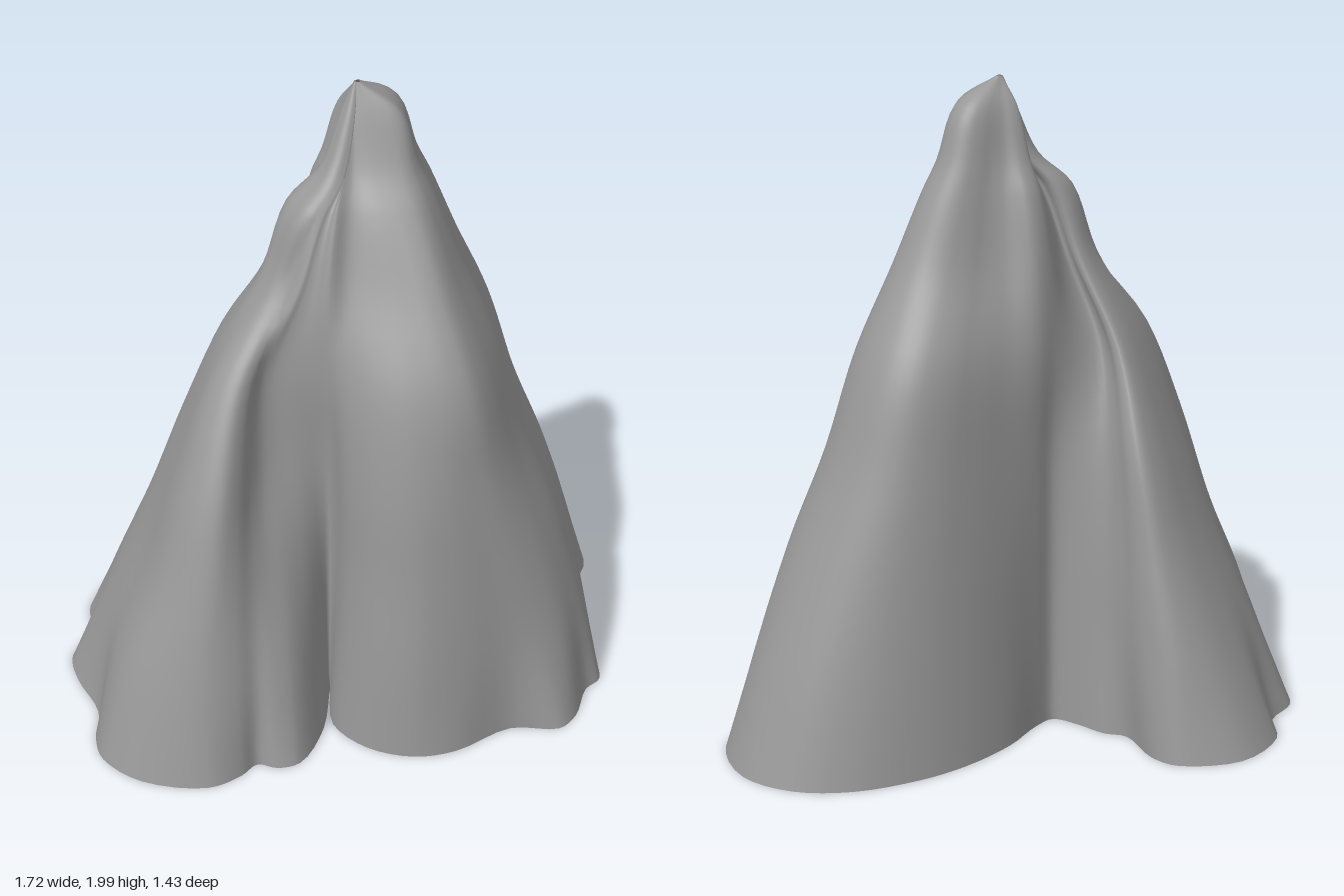
import * as THREE from 'three';

// Heights of the cross-sections
const LEVELS = [0.01, 0.3, 0.6, 0.9, 1.2, 1.45, 1.66, 1.76, 1.92, 2];

// Centre line of each lobe: x and z at every level
const MAIN_AXIS = { x: Array(10).fill(0.05), z: Array(10).fill(0) };
const SIDE_AXIS = {
  x: [-0.3, -0.3, -0.3, -0.29, -0.26, -0.15, -0.07, 0, 0.04, 0.05],
  z: [0.1, 0.1, 0.1, 0.11, 0.14, 0.13, 0.11, 0.07, 0.02, 0],
};

// How far each side of the drape reaches from its axis at every level:
// one list for x, and a second for z where it differs
const RIGHT = [1, 0.93, 0.82, 0.67, 0.55, 0.41, 0.3, 0.24, 0.17, 0.015];
const LEFT = [1, 0.81, 0.58, 0.39, 0.22, 0.16, 0.17, 0.11, 0.06, 0.01];
const PROFILES = {
  right: [RIGHT],
  back: [RIGHT, [1, 0.94, 0.87, 0.77, 0.66, 0.42, 0.31, 0.26, 0.18, 0.015]],
  front: [[1, 1, 0.98, 0.92, 0.78, 0.52, 0.33, 0.2, 0.08, 0.015]],
  shoulder: [RIGHT, [1, 0.94, 0.92, 0.92, 0.9, 0.66, 0.4, 0.25, 0.12, 0.015]],
  left: [LEFT],
  leftBack: [LEFT, [1, 0.94, 0.85, 0.72, 0.5, 0.27, 0.18, 0.11, 0.06, 0.01]],
  corner: [[1, 0.86, 0.62, 0.45, 0.27, 0.13, 0.14, 0.1, 0.05, 0.01],
    [1, 0.93, 0.84, 0.68, 0.38, 0.14, 0.15, 0.1, 0.05, 0.01]],
  fold: [[1, 0.9, 0.75, 0.55, 0.35, 0.25, 0.17, 0.1, 0.05, 0.01],
    [1, 0.89, 0.67, 0.41, 0.27, 0.25, 0.17, 0.1, 0.05, 0.01]],
  backGroove: [[1, 1, 1, 1, 1.05, 0.95, 0.75, 0.55, 0.3, 0.01]],
  frontGroove: [[1, 1, 1, 1.05, 1.15, 1.08, 0.8, 0.46, 0.16, 0.01]],
};

// Hem outline, counter-clockwise from above, grouped by profile: x, z pairs
const HEM = [
  ['right', [0.83, -0.05, 0.82, -0.18, 0.81, -0.25, 0.86, -0.4, 0.77, -0.62]],
  ['back', [0.61, -0.71, 0.43, -0.7, 0.25, -0.61, 0.12, -0.5, 0, -0.34]],
  ['backGroove', [-0.07, -0.19, -0.12, -0.13]],
  ['leftBack', [-0.2, -0.17, -0.28, -0.23, -0.35, -0.25, -0.43, -0.4, -0.51, -0.455,
    -0.7, -0.41]],
  ['left', [-0.81, -0.23, -0.8, -0.09, -0.86, 0.04, -0.84, 0.16]],
  ['corner', [-0.77, 0.33, -0.775, 0.46, -0.75, 0.56, -0.63, 0.67, -0.43, 0.71, -0.33, 0.66]],
  ['fold', [-0.28, 0.61, -0.22, 0.63, -0.15, 0.61, -0.07, 0.45]],
  ['frontGroove', [-0.04, 0.26]],
  ['front', [-0.04, 0.43, 0.06, 0.55, 0.2, 0.6, 0.33, 0.58]],
  ['shoulder', [0.51, 0.48, 0.66, 0.49, 0.72, 0.43]],
  ['right', [0.77, 0.3, 0.82, 0.25, 0.82, 0.15, 0.81, 0.08]],
];

function hemPoints() {
  const points = [];
  for (const [profile, xz] of HEM) {
    const axis = /left|corner|fold/.test(profile) ? SIDE_AXIS : MAIN_AXIS;
    const sharp = profile.endsWith('Groove');
    const [reachX, reachZ = reachX] = PROFILES[profile];
    for (let i = 0; i < xz.length; i += 2) {
      points.push({ x: xz[i], z: xz[i + 1], axis, sharp, reachX, reachZ });
    }
  }
  return points;
}

// One closed ring; the small hem waves fade out higher up, the grooves stay
function ringCurve(hem, k) {
  let ring = hem.map(({ x, z, axis, reachX, reachZ }) => new THREE.Vector3(
    axis.x[k] + (x - axis.x[0]) * reachX[k],
    LEVELS[k],
    axis.z[k] + (z - axis.z[0]) * reachZ[k]));
  const n = ring.length;
  for (let pass = 0; pass < Math.min(k, 2); pass++) {
    ring = ring.map((p, i) => hem[i].sharp ? p : ring[(i + n - 1) % n].clone()
      .add(ring[(i + 1) % n]).multiplyScalar(0.5).lerp(p, 0.5));
  }
  return new THREE.CatmullRomCurve3(ring, true);
}

// Smooth rings, joined by smooth columns
function drapeGeometry(columns, rows) {
  const hem = hemPoints();
  const rings = LEVELS.map((y, k) => ringCurve(hem, k));
  const positions = new Float32Array(columns * (rows + 1) * 3);
  for (let j = 0; j < columns; j++) {
    const column = new THREE.CatmullRomCurve3(rings.map((ring) => ring.getPoint(j / columns)));
    for (let r = 0; r <= rows; r++) {
      column.getPoint(r / rows).toArray(positions, (r * columns + j) * 3);
    }
  }
  const index = [];
  for (let r = 0; r < rows; r++) {
    for (let j = 0; j < columns; j++) {
      const next = (j + 1) % columns;
      const a = r * columns + j, b = r * columns + next;
      const c = a + columns, d = b + columns;
      index.push(a, b, c, b, d, c);
    }
  }
  const geometry = new THREE.BufferGeometry();
  geometry.setAttribute('position', new THREE.BufferAttribute(positions, 3));
  geometry.setIndex(index);
  geometry.computeVertexNormals();
  return geometry;
}

export function createModel() {
  const group = new THREE.Group();
  group.name = 'drapedCloth';
  // Thin cloth, open at the hem
  const material = new THREE.MeshStandardMaterial({ color: 0x989898, side: THREE.DoubleSide });
  const cloth = new THREE.Mesh(drapeGeometry(176, 45), material);
  cloth.name = 'cloth';
  group.add(cloth);
  return group;
}
